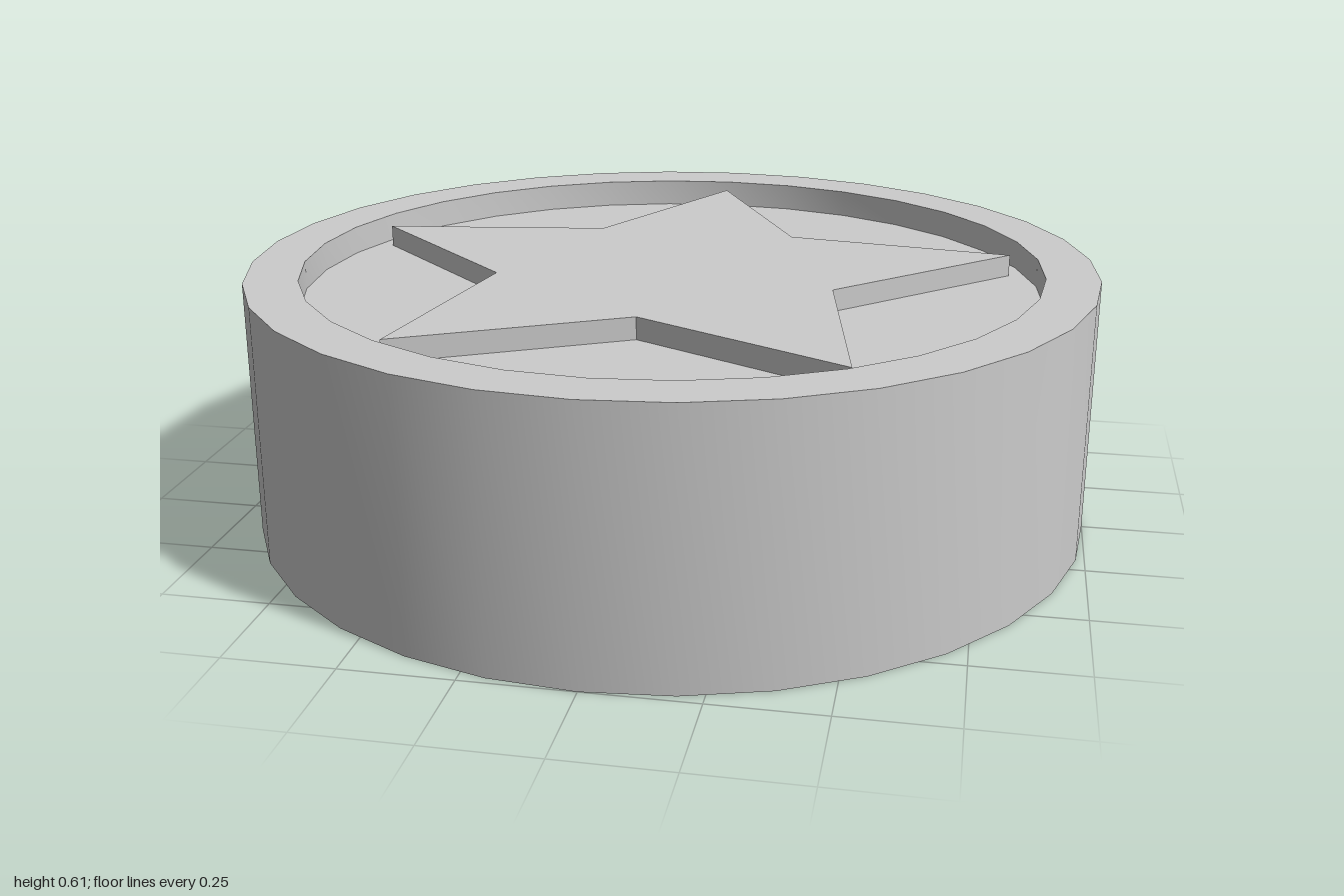
import * as THREE from 'three';
import { toCreasedNormals } from 'three/addons/utils/BufferGeometryUtils.js';

const HEIGHT = 0.61, FLOOR = 0.543, STAR_TOP = 0.595;

export function createModel() {
  const group = new THREE.Group();
  group.name = 'starToken';
  const material = new THREE.MeshStandardMaterial({ color: 0xcccccc });

  const add = (name, geometry) => {
    const mesh = new THREE.Mesh(geometry, material);
    mesh.name = name;
    group.add(mesh);
    return mesh;
  };

  // Round body with a raised rim around a shallow recess
  const profile = [
    [0, 0], [1, 0], [1, HEIGHT], [0.875, HEIGHT], [0.875, FLOOR], [0, FLOOR],
  ].map(([r, y]) => new THREE.Vector2(r, y));
  add('body', toCreasedNormals(new THREE.LatheGeometry(profile, 32), 0.6));

  // Five-pointed star standing on the recess floor, one point towards the back
  const points = [];
  for (let i = 0; i < 10; i++) {
    const r = i % 2 ? 0.418 : 0.834;
    const a = Math.PI / 2 + (i * Math.PI) / 5;
    points.push(new THREE.Vector2(r * Math.cos(a), r * Math.sin(a)));
  }
  const star = new THREE.ExtrudeGeometry(new THREE.Shape(points), {
    depth: STAR_TOP - FLOOR,
    bevelEnabled: false,
  });
  star.rotateX(-Math.PI / 2);
  add('star', star).position.y = FLOOR;

  return group;
}
